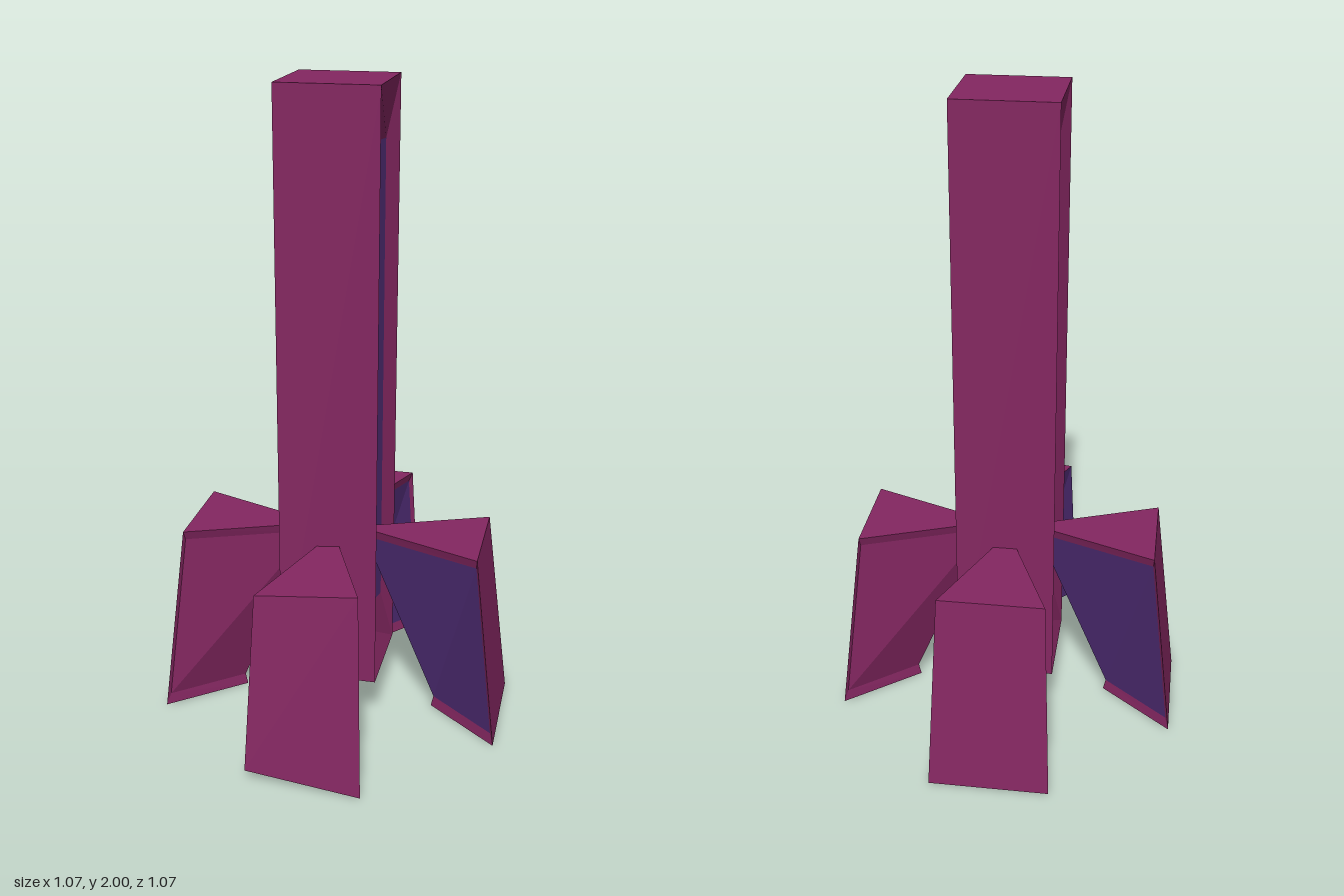
import * as THREE from 'three';

const plum = new THREE.MeshStandardMaterial({ color: 0x842761, flatShading: true });
const violet = new THREE.MeshStandardMaterial({ color: 0x4c2a70, flatShading: true });

// Flat-sided mesh from faces of three or four corners, counter-clockwise from outside
function facets(name, material, faces) {
  const points = [];
  for (const face of faces) {
    for (let i = 2; i < face.length; i++) points.push(...face[0], ...face[i - 1], ...face[i]);
  }
  const geometry = new THREE.BufferGeometry();
  geometry.setAttribute('position', new THREE.Float32BufferAttribute(points, 3));
  geometry.computeVertexNormals();
  const mesh = new THREE.Mesh(geometry, material);
  mesh.name = name;
  return mesh;
}

// Sloping walls between the rim of a side and its sunken panel
const rimFaces = (rim, panel) => rim.map((p, i) => {
  const j = (i + 1) % 4;
  return [rim[j], panel[j], panel[i], p];
});

const mirrorZ = ([x, y, z]) => [x, y, -z];

function createColumn() {
  const group = new THREE.Group();
  group.name = 'column';
  const h = 0.152, y0 = 0.157, y1 = 2;

  // Plain front, back, top and bottom
  group.add(facets('columnBody', plum, [
    [[-h, y0, h], [h, y0, h], [h, y1, h], [-h, y1, h]],
    [[h, y0, -h], [-h, y0, -h], [-h, y1, -h], [h, y1, -h]],
    [[-h, y1, h], [h, y1, h], [h, y1, -h], [-h, y1, -h]],
    [[-h, y0, -h], [h, y0, -h], [h, y0, h], [-h, y0, h]],
  ]));

  // Skewed recess on each side, repeated by a half turn
  const rim = [[h, y0, h], [h, y0, -h], [h, y1, -h], [h, y1, h]];
  const panel = [[0.06, 0.34, 0.14], [0.12, 0.34, -0.1], [0.12, 1.82, -0.1], [0.06, 1.82, 0.14]];
  for (const turn of [0, Math.PI]) {
    const side = new THREE.Group();
    side.name = turn ? 'rightRecess' : 'leftRecess';
    side.add(facets('recessRim', plum, rimFaces(rim, panel)), facets('recessPanel', violet, [panel]));
    side.rotation.y = turn;
    group.add(side);
  }
  return group;
}

// Wedge-shaped fin pointing along +x; the sunken panels of both sides meet at its inner edge
function createFin(name, hasRim) {
  const group = new THREE.Group();
  group.name = name;
  const rim = [[0.31, 0, 0], [0.533, 0, 0.184], [0.46, 0.62, 0.16], [0.06, 0.62, 0]];
  const panel = [[0.318, 0.035, 0], [0.522, 0.035, 0.17], [0.457, 0.59, 0.148], [0.085, 0.59, 0]];
  // Without a rim the violet side is cut back to its panel
  const near = hasRim ? rim : [...panel.slice(0, 3), rim[3]];
  const far = [near[0], mirrorZ(rim[1]), mirrorZ(rim[2]), rim[3]];
  const farPanel = panel.map(mirrorZ);

  group.add(facets('finBody', plum, [
    [near[1], far[1], far[2], near[2]],
    [near[3], near[2], far[2]],
    [near[0], far[1], near[1]],
    [...farPanel].reverse(),
    ...rimFaces(near, panel).slice(0, 3),
    ...rimFaces(far, farPanel).slice(0, 3).map((face) => face.reverse()),
  ]));
  group.add(facets('finPanel', violet, [panel]));
  return group;
}

export function createModel() {
  const model = new THREE.Group();
  model.name = 'finnedTower';
  model.add(createColumn());

  // Four fins in quarter turns; the front one has no rim on its violet side
  ['leftFin', 'backFin', 'rightFin', 'frontFin'].forEach((name, i) => {
    const fin = createFin(name, name !== 'frontFin');
    fin.rotation.y = i * Math.PI / 2;
    model.add(fin);
  });
  return model;
}
